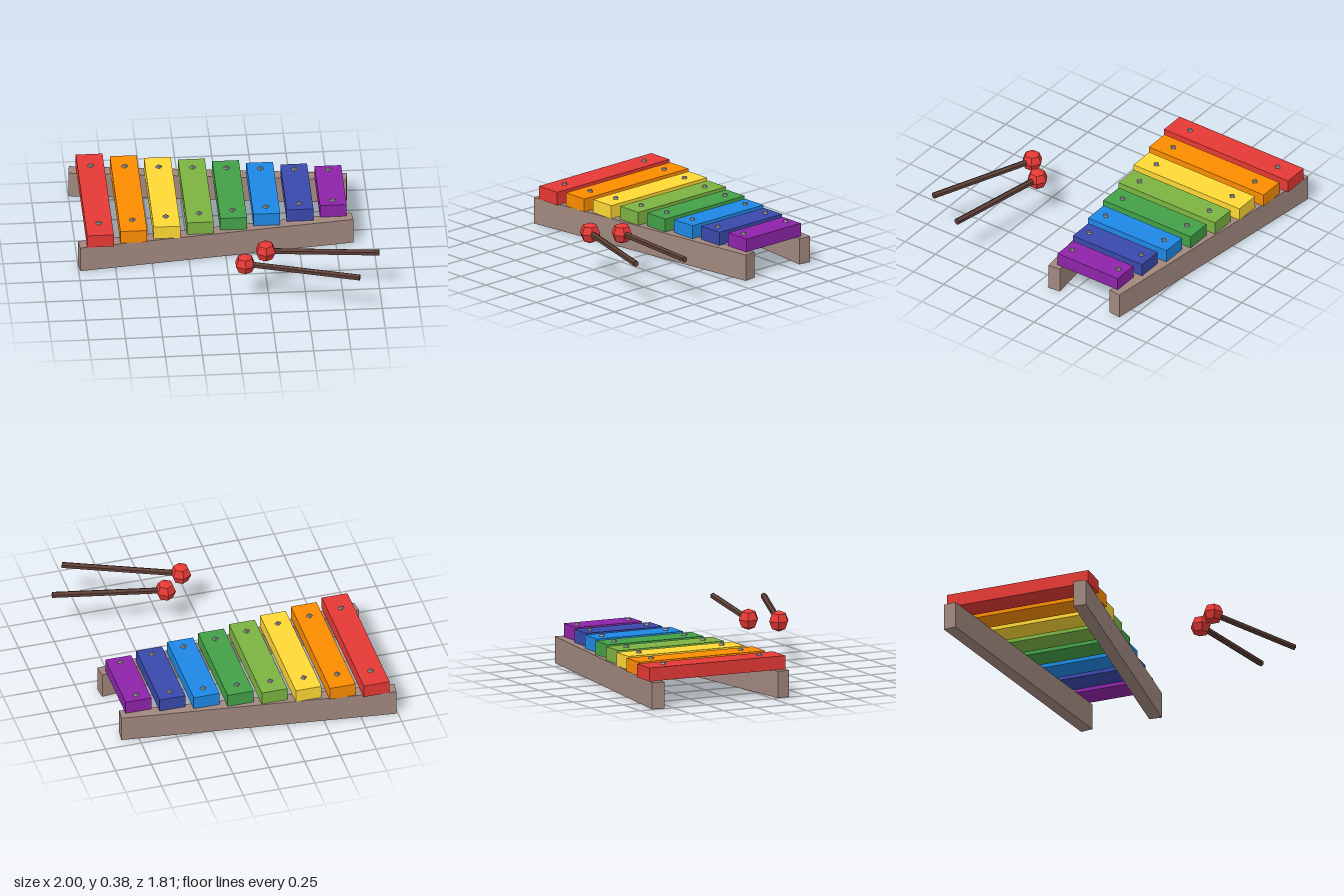
import * as THREE from 'three';

const mat = (color) => new THREE.MeshStandardMaterial({ color, flatShading: true });

export function createModel() {
  const model = new THREE.Group();
  const midZ = -0.3875;
  const barBase = 0.183, barHeight = 0.092;

  const add = (name, geometry, material, x, y, z, parent = model) => {
    const mesh = new THREE.Mesh(geometry, material);
    mesh.name = name;
    mesh.position.set(x, y, z);
    parent.add(mesh);
    return mesh;
  };

  // Two wooden rails converging towards the short bars
  const wood = mat(0xa1887f);
  const railGeo = new THREE.BoxGeometry(1.872, barBase, 0.088);
  for (const [name, side] of [['frontRail', 1], ['backRail', -1]]) {
    const rail = add(name, railGeo, wood, -0.065, barBase / 2, midZ + side * 0.362);
    rail.rotation.y = side * 0.12;
  }

  // Coloured bars, each shorter than the last, with a bolt at either end
  const colors = [0xe53935, 0xfb8c00, 0xfdd835, 0x7cb342, 0x43a047, 0x1e88e5, 0x3949ab, 0x8e24aa];
  const boltGeo = new THREE.SphereGeometry(0.024, 4, 4);
  const metal = mat(0x9e9e9e);
  colors.forEach((color, i) => {
    const t = i / (colors.length - 1);
    const x = -0.853 + 0.227 * i;
    const length = 1.028 - 0.53 * t;
    add('toneBar' + (i + 1), new THREE.BoxGeometry(0.18, barHeight, length), mat(color),
      x, barBase + barHeight / 2, midZ);
    for (const side of [-1, 1]) {
      add('bolt', boltGeo, metal, x, barBase + barHeight - 0.005, midZ + side * (0.363 - 0.17 * t));
    }
  });

  // Mallets: faceted head with a six-sided stick
  const headGeo = new THREE.SphereGeometry(0.0725, 6, 4).rotateY(Math.PI / 2);
  const headMat = mat(0xe53935), stickMat = mat(0x5d4037);
  const addMallet = (name, head, end) => {
    const mallet = new THREE.Group();
    mallet.name = name;
    model.add(mallet);
    add('malletHead', headGeo, headMat, head.x, head.y, head.z, mallet);
    const stickGeo = new THREE.CylinderGeometry(0.022, 0.022, head.distanceTo(end), 6).rotateX(Math.PI / 2);
    const mid = head.clone().lerp(end, 0.5);
    add('malletStick', stickGeo, stickMat, mid.x, mid.y, mid.z, mallet).lookAt(end);
  };
  addMallet('frontMallet', new THREE.Vector3(0.085, 0.307, 0.607), new THREE.Vector3(0.838, 0.335, 0.882));
  addMallet('backMallet', new THREE.Vector3(0.235, 0.307, 0.455), new THREE.Vector3(0.993, 0.335, 0.578));

  return model;
}
